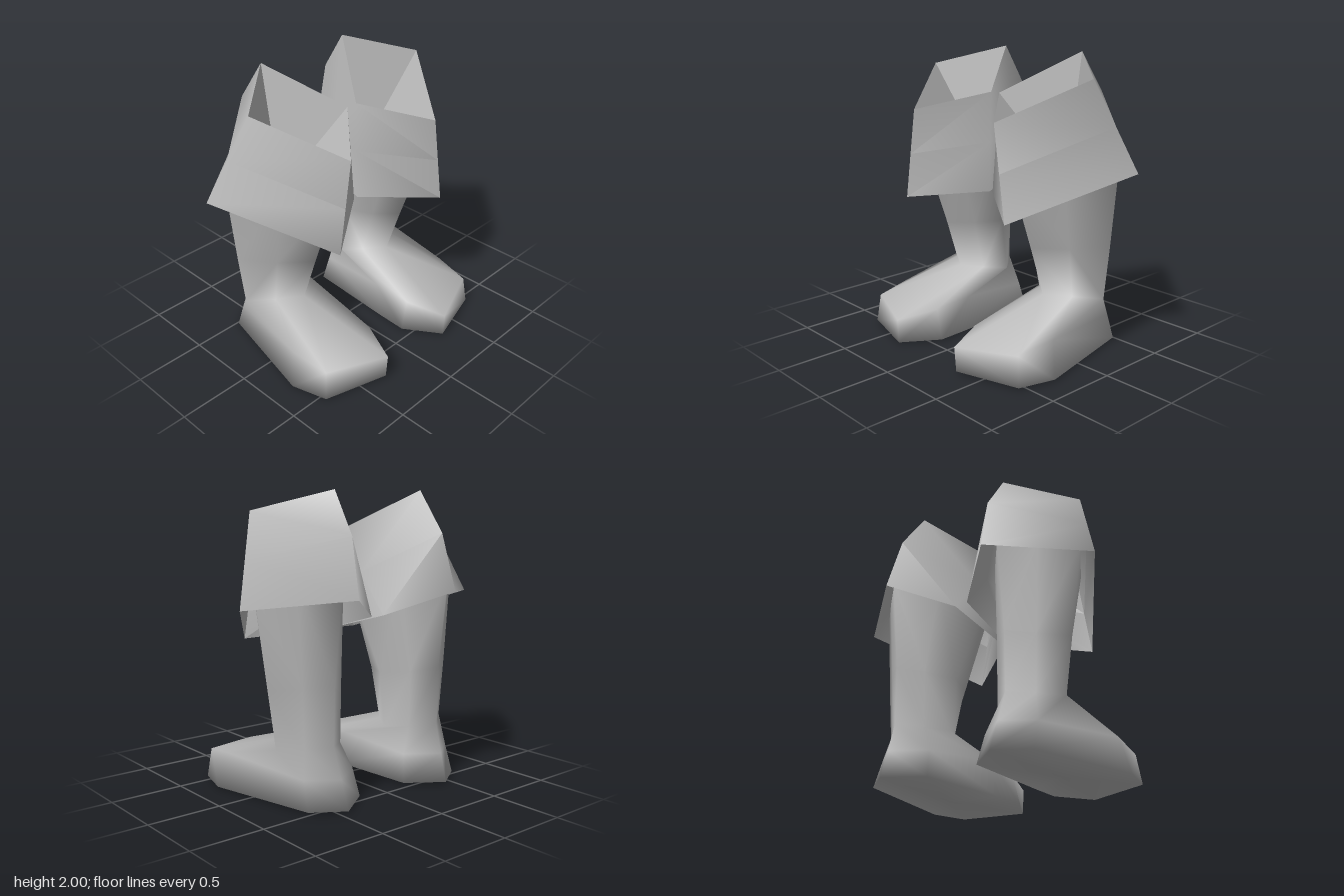
import * as THREE from 'three';
import { mergeVertices, toCreasedNormals } from 'three/addons/utils/BufferGeometryUtils.js';

// Joins closed rings of [x, y, z] points, listed bottom to top; side = -1 mirrors across z.
// An optional base point closes the bottom ring, an optional tip closes the top ring.
function loft(rings, side, { base, tip } = {}) {
  const n = rings[0].length;
  const points = rings.flat();
  const index = [];
  const tri = (a, b, c) => (side > 0 ? index.push(a, b, c) : index.push(a, c, b));
  for (let r = 0; r < rings.length - 1; r++) {
    for (let i = 0; i < n; i++) {
      const a = r * n + i;
      const b = r * n + ((i + 1) % n);
      tri(b, a, a + n);
      tri(b, a + n, b + n);
    }
  }
  const fan = (centre, start, up) => {
    const c = points.push(centre) - 1;
    for (let i = 0; i < n; i++) {
      const a = start + i;
      const b = start + ((i + 1) % n);
      if (up) tri(c, b, a);
      else tri(c, a, b);
    }
  };
  if (base) fan(base, 0, false);
  if (tip) fan(tip, (rings.length - 1) * n, true);

  const flat = points.flatMap(([x, y, z]) => [x, y, z * side]);
  let geometry = new THREE.BufferGeometry();
  geometry.setAttribute('position', new THREE.Float32BufferAttribute(flat, 3));
  geometry.setIndex(index);
  geometry = mergeVertices(geometry);
  geometry.computeVertexNormals();
  return geometry;
}

const midpoint = (a, b) => a.map((v, i) => (v + b[i]) / 2);

// Foot rings run: heel, inner heel, inner side, inner toe, toe tip, outer toe, outer side, outer heel
const sole = [[-0.62, 0.01, 0.44], [-0.45, 0.01, 0.2], [0.2, 0.01, 0.155], [0.43, 0.01, 0.145],
  [0.68, 0.01, 0.31], [0.55, 0.01, 0.755], [0.3, 0.01, 0.825], [-0.48, 0.01, 0.65]];
const upper = [[-0.56, 0.2, 0.45], [-0.41, 0.2, 0.23], [0.15, 0.25, 0.175], [0.42, 0.22, 0.2],
  [0.69, 0.18, 0.305], [0.53, 0.21, 0.73], [0.26, 0.25, 0.77], [-0.42, 0.2, 0.64]];
// Shaft rings are rounded diamonds: back, inner, front and outer corners with a point between each
const ankle = [[-0.5, 0.4, 0.46], [-0.38, 0.38, 0.31], [-0.25, 0.37, 0.2], [-0.1, 0.39, 0.29],
  [0.01, 0.4, 0.43], [-0.1, 0.4, 0.6], [-0.26, 0.38, 0.735], [-0.38, 0.39, 0.6]];
const calf = [[-0.51, 0.8, 0.46], [-0.39, 0.77, 0.31], [-0.2, 0.75, 0.2], [-0.01, 0.75, 0.29],
  [0.13, 0.75, 0.43], [-0.04, 0.75, 0.62], [-0.25, 0.76, 0.785], [-0.39, 0.78, 0.62]];
const shaftTop = [[-0.58, 1.4, 0.46], [-0.34, 1.38, 0.25], [-0.04, 1.36, 0.06], [0.19, 1.36, 0.25],
  [0.35, 1.36, 0.43], [0.08, 1.36, 0.66], [-0.23, 1.38, 0.86], [-0.41, 1.4, 0.66]];

// Cuff rings run: back, inner back, inner, front, outer
const hem = [[-0.69, 1.34, 0.42], [-0.39, 1.18, 0.05], [0.09, 1.05, 0.015], [0.435, 0.98, 0.5], [-0.26, 1.28, 0.985]];
const rim = [[-0.4, 2, 0.37], [0.05, 1.73, 0.04], [0.05, 1.73, 0.04], [0.43, 1.61, 0.4], [-0.06, 1.87, 0.77]];
const cuffMiddle = hem.map((p, i) => midpoint(p, rim[i]));
cuffMiddle[0] = [-0.59, 1.72, 0.39];

export function createModel() {
  const model = new THREE.Group();
  model.name = 'bootPair';
  const leather = new THREE.MeshStandardMaterial({ color: 0xb8b8b8, side: THREE.DoubleSide });
  leather.name = 'plain grey';

  for (const side of [1, -1]) {
    const boot = new THREE.Group();
    boot.name = side > 0 ? 'leftHandBoot' : 'mirroredBoot';
    const add = (name, geometry) => {
      const mesh = new THREE.Mesh(geometry, leather);
      mesh.name = name;
      boot.add(mesh);
    };

    // Foot and shaft in one smooth skin, closed by the sole
    add('footAndShaft', loft([sole, upper, ankle, calf, shaftTop], side, { base: [0.05, 0, 0.47] }));

    // Flared slanted cuff, open at the hem, sharp along its back corner
    add('cuff', toCreasedNormals(loft([hem, cuffMiddle, rim], side), 1.6));

    // Four-sided hollow running from the rim down to a point
    const opening = [rim[0], rim[1], rim[3], rim[4]];
    add('cuffHollow', toCreasedNormals(loft([opening], side, { tip: [-0.23, 1.16, 0.4] }), 0.6));

    model.add(boot);
  }
  return model;
}
